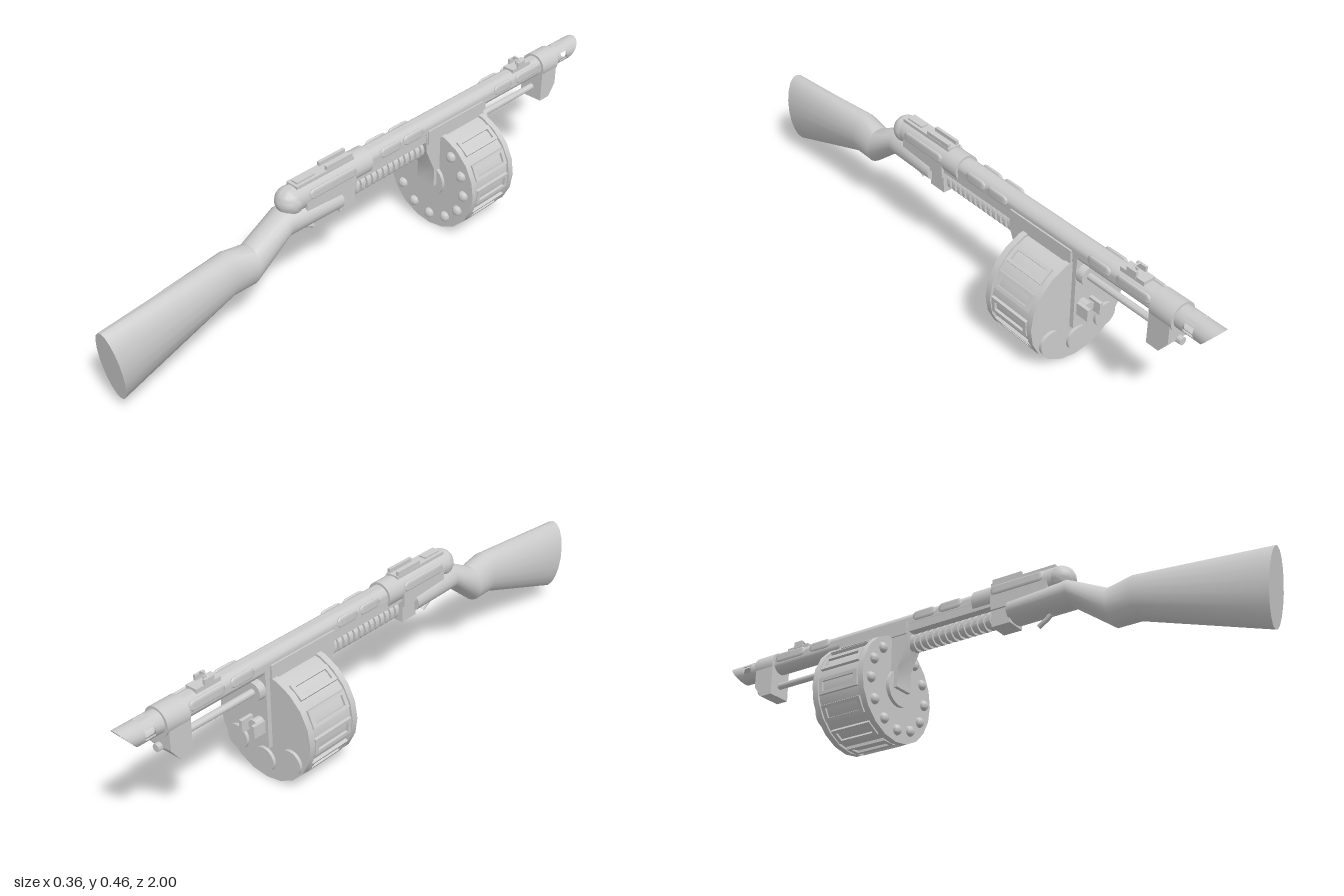
import * as THREE from 'three';
import { toCreasedNormals, mergeGeometries } from 'three/addons/utils/BufferGeometryUtils.js';

const GREY = new THREE.MeshStandardMaterial({ color: 0xcccccc, side: THREE.DoubleSide });
const BARREL_Y = 0.39;
const DRUM = { y: 0.178, r: 0.178, z0: -0.48, z1: -0.28 };

export function createModel() {
  const model = new THREE.Group();
  model.name = 'drumShotgun';

  const add = (name, geo, x = 0, y = 0, z = 0) => {
    const mesh = new THREE.Mesh(toCreasedNormals(geo, 0.6), GREY);
    mesh.name = name;
    mesh.position.set(x, y, z);
    model.add(mesh);
    return mesh;
  };
  // Box given by its extents in y and z and its half width
  const box = (name, halfX, y0, y1, z0, z1, x = 0) =>
    add(name, new THREE.BoxGeometry(halfX * 2, y1 - y0, z1 - z0), x, (y0 + y1) / 2, (z0 + z1) / 2);
  // Cylinder lying along z
  const rod = (name, r, z0, z1, y, x = 0, sides = 20) =>
    add(name, new THREE.CylinderGeometry(r, r, z1 - z0, sides).rotateX(Math.PI / 2), x, y, (z0 + z1) / 2);
  // Side profile in (z, y), extruded across x
  const plate = (name, halfX, pts) => {
    const shape = new THREE.Shape(pts.map(([z, y]) => new THREE.Vector2(-z, y)));
    const geo = new THREE.ExtrudeGeometry(shape, { depth: halfX * 2, bevelEnabled: false });
    return add(name, geo.translate(0, 0, -halfX).rotateY(Math.PI / 2));
  };

  // Stock and grip: elliptical sections [zTop, yTop, zBottom, yBottom], front to butt
  const sections = [
    [0.16, 0.36, 0.16, 0.285], [0.36, 0.376, 0.37, 0.285], [0.49, 0.312, 0.5, 0.185],
    [0.57, 0.33, 0.58, 0.185], [1, 0.295, 0.968, 0.05],
  ];
  const stock = new THREE.CylinderGeometry(1, 1, 1, 20, sections.length - 1);
  const sp = stock.attributes.position;
  for (let i = 0; i < sp.count; i++) {
    const [zt, yt, zb, yb] = sections[Math.round((sp.getY(i) + 0.5) * (sections.length - 1))];
    const t = (1 - sp.getZ(i)) / 2;
    sp.setXYZ(i, sp.getX(i) * 0.052, yb + (yt - yb) * t, zb + (zt - zb) * t);
  }
  add('stock', stock);

  // Trigger
  const curve = new THREE.CatmullRomCurve3([[0.285, 0.27], [0.27, 0.25], [0.262, 0.235], [0.255, 0.225]]
    .map(([y, z]) => new THREE.Vector3(0, y, z + 0.02)));
  add('trigger', new THREE.TubeGeometry(curve, 10, 0.008, 8));

  // Receiver with rounded rear end
  rod('receiver', 0.043, 0.03, 0.33, BARREL_Y);
  add('receiverEnd', new THREE.SphereGeometry(0.045, 20, 14), 0, BARREL_Y - 0.002, 0.33);
  box('receiverBase', 0.042, 0.335, 0.385, 0.1, 0.3);
  box('forendBlock', 0.035, 0.28, 0.36, 0.1, 0.165);

  // Ribbed forend tube
  rod('forendTube', 0.022, -0.24, 0.12, 0.32);
  for (let i = 0; i < 13; i++) rod('forendRib', 0.03, -0.212 + i * 0.024, -0.199 + i * 0.024, 0.32);

  // Barrel and side rails over the drum
  rod('barrel', 0.035, -0.86, 0.05, BARREL_Y, 0, 24);
  box('barrelUnderside', 0.033, 0.352, 0.385, -0.5, 0.1);
  box('drumRail', 0.04, 0.345, 0.392, -0.48, -0.22);

  // Muzzle: hollow, with side ports and a slanted mouth
  const muzzleArc = (r, z0, z1, start, len) =>
    new THREE.CylinderGeometry(r, r, z1 - z0, 16, 1, true, start, len)
      .rotateX(Math.PI / 2).translate(0, 0, (z0 + z1) / 2);
  const muzzleParts = [];
  for (const r of [0.035, 0.028]) {
    muzzleParts.push(muzzleArc(r, -0.895, -0.85, 0, Math.PI * 2));
    for (const c of [0, Math.PI]) muzzleParts.push(muzzleArc(r, -0.93, -0.895, c - 1.1, 2.2));
    muzzleParts.push(muzzleArc(r, -0.972, -0.93, 0, Math.PI * 2));
  }
  muzzleParts.push(new THREE.RingGeometry(0.028, 0.035, 32).rotateY(Math.PI).translate(0, 0, -0.972));
  const muzzle = mergeGeometries(muzzleParts);
  const mp = muzzle.attributes.position;
  for (let i = 0; i < mp.count; i++) {
    if (mp.getZ(i) < -0.96) mp.setZ(i, mp.getZ(i) - mp.getY(i) * 0.8);
  }
  add('muzzle', muzzle, 0, BARREL_Y, 0);

  // Front bracket
  rod('bracketSleeve', 0.045, -0.865, -0.785, BARREL_Y - 0.003);
  plate('bracketBlock', 0.042, [[-0.785, 0.39], [-0.785, 0.27], [-0.83, 0.27], [-0.86, 0.31], [-0.86, 0.39]]);
  rod('bracketPin', 0.012, -0.875, -0.84, 0.31, 0, 12);

  // Raised rounded panels along both sides: [zStart, zEnd, x]
  const panels = [[0.1, 0.29, 0.04], [-0.1, -0.01, 0.032], [-0.2, -0.11, 0.032],
    [-0.63, -0.54, 0.032], [-0.78, -0.65, 0.032]];
  for (const [z0, z1, x] of panels) for (const s of [-1, 1]) {
    const geo = new THREE.CapsuleGeometry(0.017, z1 - z0 - 0.034, 4, 12).rotateX(Math.PI / 2).scale(0.45, 1, 1);
    add('sidePanel', geo, s * x, BARREL_Y + 0.01, (z0 + z1) / 2);
  }

  // Rear sight: base, two rails and a raised leaf
  box('rearSightBase', 0.022, 0.42, 0.437, 0.09, 0.32);
  for (const s of [-1, 1]) box('rearSightRail', 0.005, 0.43, 0.45, 0.095, 0.2, s * 0.016);
  box('rearSightLeaf', 0.012, 0.43, 0.442, 0.24, 0.31);

  // Front sight: base, ears, post and hoop
  box('frontSightBase', 0.02, 0.415, 0.432, -0.74, -0.65);
  for (const s of [-1, 1]) box('frontSightEar', 0.004, 0.425, 0.448, -0.71, -0.675, s * 0.018);
  box('frontSightPost', 0.002, 0.425, 0.444, -0.695, -0.688);
  add('frontSightHoop', new THREE.TorusGeometry(0.018, 0.003, 8, 20, Math.PI), 0, 0.437, -0.692);

  // Drum magazine: body, end plates, rim frames
  const dMid = (DRUM.z0 + DRUM.z1) / 2;
  rod('drumBody', 0.17, DRUM.z0, DRUM.z1, DRUM.y, 0, 20);
  for (const z of [DRUM.z0, DRUM.z1 - 0.02]) rod('drumEnd', DRUM.r, z, z + 0.02, DRUM.y, 0, 20);
  const rect = (P, w, h) => new P([[-w, -h], [w, -h], [w, h], [-w, h]].map(p => new THREE.Vector2(...p)));
  const frame = rect(THREE.Shape, 0.027, 0.075);
  frame.holes.push(rect(THREE.Path, 0.016, 0.062));
  const frameGeo = new THREE.ExtrudeGeometry(frame, { depth: 0.014, bevelEnabled: false })
    .rotateX(Math.PI / 2).translate(0, -0.162, 0);
  const STEP = 0.5;
  for (let i = -5; i <= 5; i++) {
    const a = i * STEP;
    add('drumFrame', frameGeo, 0, DRUM.y, dMid).rotation.z = a;
    // Rivet on the rear-facing plate
    add('drumRivet', new THREE.SphereGeometry(0.0175, 16, 12),
      Math.sin(a) * 0.14, DRUM.y + 0.002 - Math.cos(a) * 0.14, DRUM.z1);
  }

  // Drum bracket and hub on the stock side
  plate('drumBracket', 0.035, [[-0.215, 0.385], [-0.215, 0.32], [-0.255, 0.235], [-0.255, 0.17], [-0.29, 0.17], [-0.29, 0.385]]);
  rod('drumHub', 0.06, -0.29, -0.268, DRUM.y);

  // Muzzle-side face: discs, plate, winding key, rod
  for (const [x, y] of [[0.105, 0.1], [0, 0.066], [-0.105, 0.1]]) rod('drumDisc', 0.04, -0.49, -0.47, y, x);
  box('drumFacePlate', 0.03, 0.12, 0.35, -0.495, -0.47);
  rod('keyHub', 0.018, -0.525, -0.48, 0.2);
  box('keyBar', 0.03, 0.19, 0.21, -0.525, -0.505);
  for (const s of [-1, 1]) {
    box('keyProng', 0.006, 0.18, 0.22, -0.55, -0.505, s * 0.024);
  }
  rod('rodCollar', 0.03, -0.52, -0.48, 0.31);
  rod('ejectorRod', 0.011, -0.79, -0.5, 0.31, 0, 12);

  return model;
}
